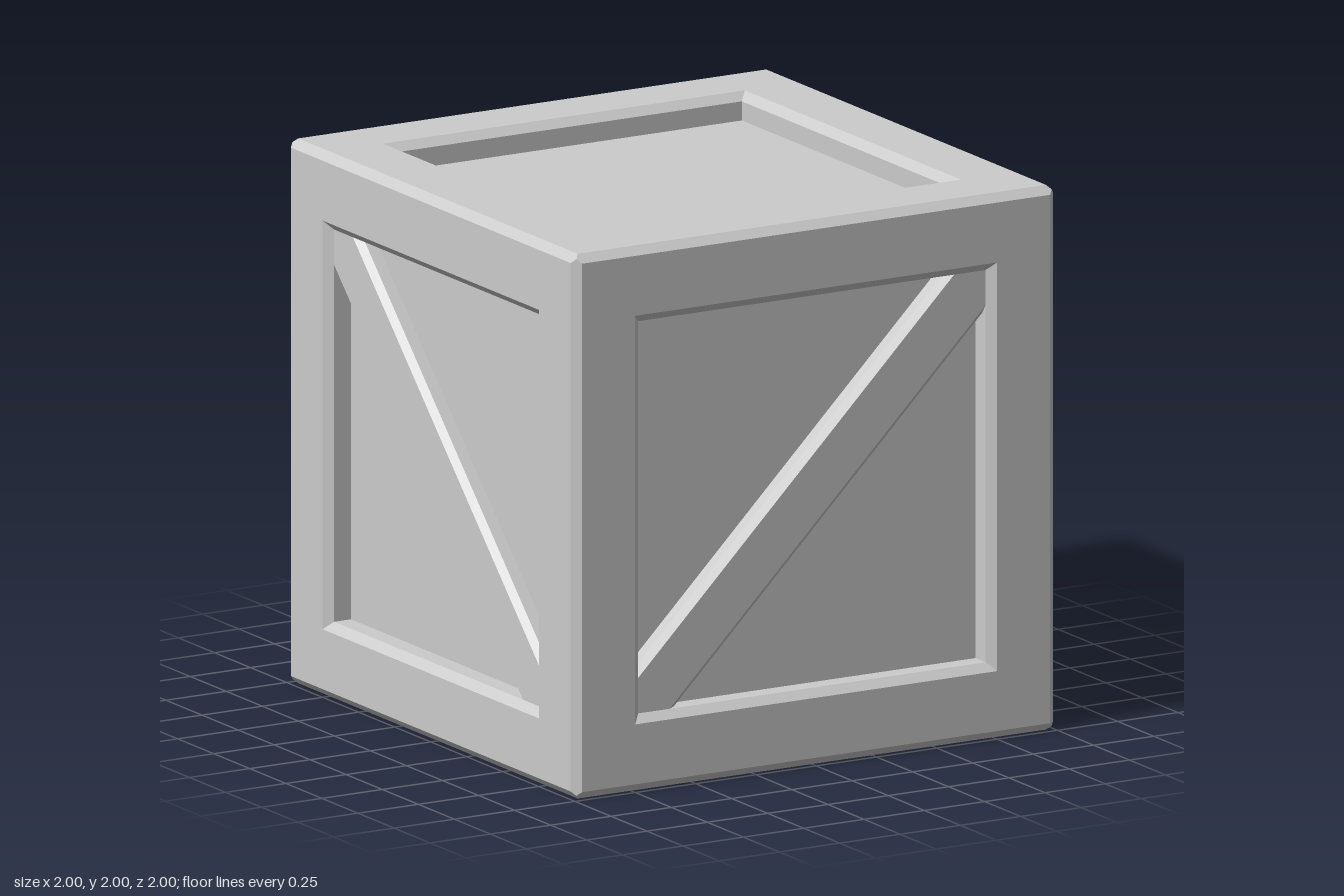
import * as THREE from 'three';

const material = new THREE.MeshStandardMaterial({ color: 0xcccccc, flatShading: true });

function part(name, geometry) {
  const mesh = new THREE.Mesh(geometry, material);
  mesh.name = name;
  return mesh;
}

// Square rim: outer bevel, flat border, inner bevel and recess wall, as [half width, height]
function rimGeometry() {
  const profile = [[0.985, 0.985], [0.97, 1], [0.75, 1], [0.72, 0.97], [0.72, 0.9]]
    .map(([half, h]) => new THREE.Vector2(half * Math.SQRT2, h));
  const geometry = new THREE.LatheGeometry(profile, 4, Math.PI / 4).rotateX(Math.PI / 2).toNonIndexed();
  geometry.computeVertexNormals();
  return geometry;
}

// Diagonal plank with bevelled long edges; its ends run into the rim
function braceGeometry(angle) {
  const section = new THREE.Shape([
    [-0.115, 0.88], [0.115, 0.88], [0.115, 0.946], [0.092, 0.97], [-0.092, 0.97], [-0.115, 0.946],
  ].map(([x, y]) => new THREE.Vector2(x, y)));
  return new THREE.ExtrudeGeometry(section, { depth: 2.08, bevelEnabled: false })
    .translate(0, 0, -1.04)
    .rotateX(Math.PI / 2)
    .rotateZ(angle);
}

export function createModel() {
  const crate = new THREE.Group();
  crate.name = 'crate';
  const rim = rimGeometry();
  const panel = new THREE.PlaneGeometry(1.44, 1.44).translate(0, 0, 0.9);
  const q = Math.PI / 2;

  // name, rotation about x, rotation about y, brace direction (0 = none)
  const sides = [
    ['front', 0, 0, -1], ['back', 0, 2 * q, -1],
    ['left', 0, q, 1], ['right', 0, -q, 1],
    ['top', -q, 0, 0], ['bottom', q, 0, 0],
  ];
  for (const [name, rx, ry, lean] of sides) {
    const side = new THREE.Group();
    side.name = name + 'Side';
    side.add(part(name + 'Frame', rim), part(name + 'Panel', panel));
    if (lean) side.add(part(name + 'Brace', braceGeometry(lean * Math.PI / 4)));
    side.rotation.set(rx, ry, 0);
    side.position.y = 1;
    crate.add(side);
  }
  return crate;
}
